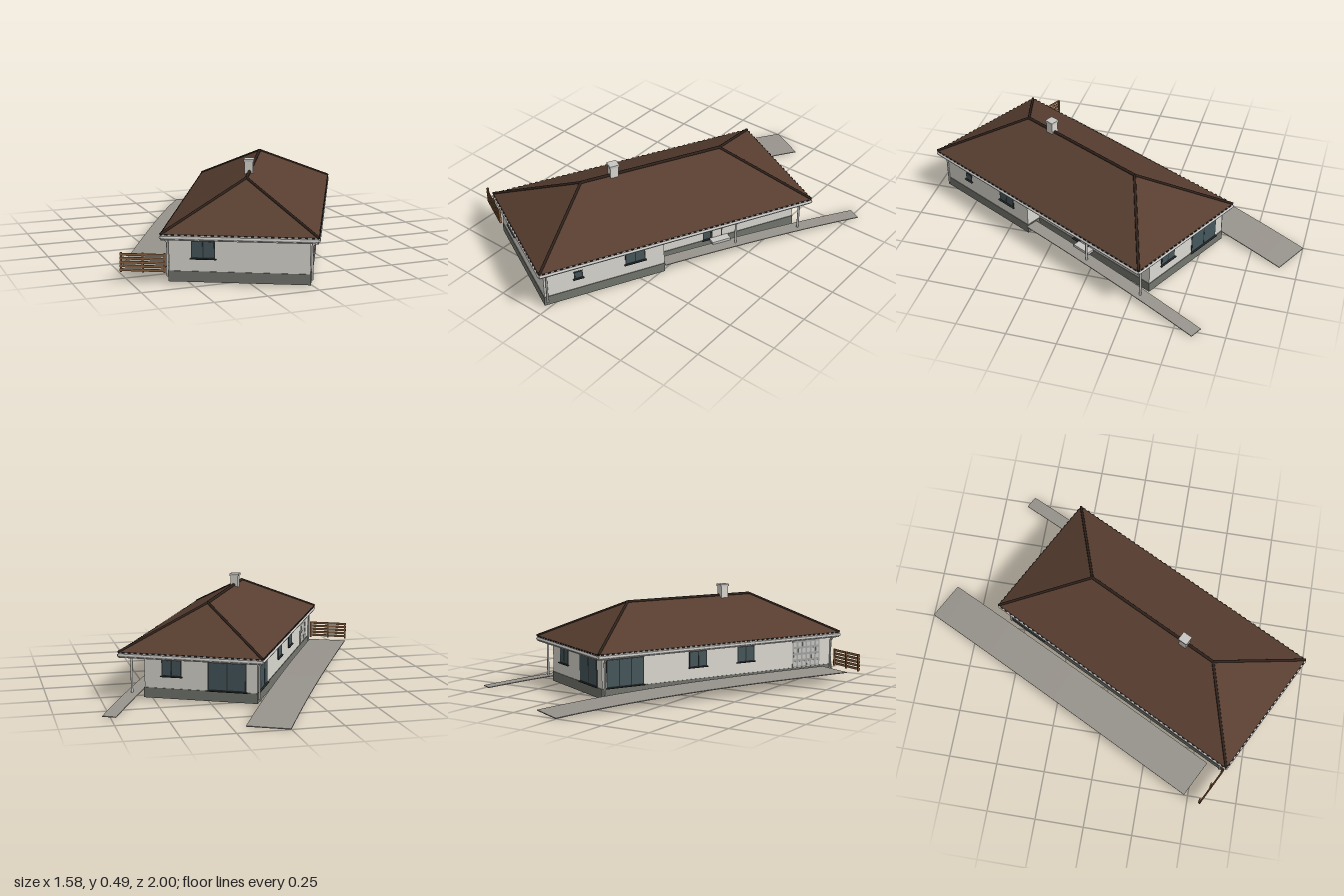
import * as THREE from 'three';

const paint = (name, color, side = THREE.FrontSide) => {
  const m = new THREE.MeshStandardMaterial({ color, side });
  m.name = name;
  return m;
};

export function createModel() {
  const wallMat = paint('render white', 0xdcdad2);
  const plinthMat = paint('plinth grey', 0x74766f);
  const roofMat = paint('roof brown', 0x583e30);
  const ridgeMat = paint('ridge dark brown', 0x2e211b);
  const trimMat = paint('gutter pale grey', 0xc9c8c5);
  const glassMat = paint('glass blue grey', 0x46575c);
  const frameMat = paint('frame charcoal', 0x2b3032);
  const pavingMat = paint('paving grey', 0x98948d);
  const woodMat = paint('fence wood', 0x8c6442);
  const panelMat = paint('panel grey', 0xa5a5a0);

  const model = new THREE.Group();
  model.name = 'bungalow';
  // The house is turned on its plot: local +z is the gable-less front end
  const house = new THREE.Group();
  house.name = 'house';
  house.position.set(0.016, 0, 0.18);
  house.rotation.y = -0.475;
  model.add(house);

  const add = (name, geo, mat, x = 0, y = 0, z = 0, parent = house) => {
    const mesh = new THREE.Mesh(geo, mat);
    mesh.name = name;
    mesh.position.set(x, y, z);
    parent.add(mesh);
    return mesh;
  };
  const box = (name, mat, w, h, d, x, y, z, parent) =>
    add(name, new THREE.BoxGeometry(w, h, d), mat, x, y, z, parent);
  const bar = (name, mat, a, b, r, sides = 8) => {
    const p = new THREE.Vector3(...a), q = new THREE.Vector3(...b);
    const mesh = add(name, new THREE.CylinderGeometry(r, r, p.distanceTo(q), sides), mat);
    mesh.position.copy(p).add(q).multiplyScalar(0.5);
    mesh.quaternion.setFromUnitVectors(new THREE.Vector3(0, 1, 0), q.sub(p).normalize());
    return mesh;
  };

  // Footprint with the porch recess on the +x side, inset by t
  const T = 0.005, L = -0.322, R = 0.318, P = 0.235, F = 0.697, S = 0.073, B = -0.69;
  const footprint = (t) => [
    [L + t, F - t], [R - t, F - t], [R - t, S + t],
    [P - t, S + t], [P - t, B + t], [L + t, B + t],
  ].map(([x, z]) => new THREE.Vector2(x, -z));
  const ring = (outer, inner, height) => {
    const shape = new THREE.Shape(outer);
    shape.holes.push(new THREE.Path(inner));
    return new THREE.ExtrudeGeometry(shape, { depth: height, bevelEnabled: false }).rotateX(-Math.PI / 2);
  };
  add('walls', ring(footprint(0), footprint(T), 0.15), wallMat, 0, 0.06, 0);
  add('plinth', ring(footprint(-0.003), footprint(T), 0.05), plinthMat, 0, 0.01, 0);

  // Hipped roof, with a pale lining below
  const HX = 0.355, HZ = 0.726, RZ = 0.376, EAVE = 0.235, TOP = 0.43;
  const hip = (flip) => {
    const a = [HX, EAVE, HZ], b = [-HX, EAVE, HZ], c = [-HX, EAVE, -HZ], d = [HX, EAVE, -HZ];
    const f = [0, TOP, RZ], k = [0, TOP, -RZ];
    const tris = [[b, a, f], [a, d, k], [a, k, f], [d, c, k], [c, b, f], [c, f, k]];
    const pts = tris.flatMap((t) => (flip ? [t[0], t[2], t[1]] : t)).flat();
    const geo = new THREE.BufferGeometry();
    geo.setAttribute('position', new THREE.Float32BufferAttribute(pts, 3));
    geo.computeVertexNormals();
    return geo;
  };
  add('roof', hip(false), roofMat);
  add('roofLining', hip(true), wallMat, 0, -0.01, 0);
  const rect = (x, z) => [[-x, z], [x, z], [x, -z], [-x, -z]].map(([u, v]) => new THREE.Vector2(u, -v));
  add('soffit', ring(rect(HX - 0.004, HZ - 0.004), footprint(T), 0.004), wallMat, 0, 0.207, 0);
  add('fascia', ring(rect(HX - 0.001, HZ - 0.001), rect(HX - 0.008, HZ - 0.008), 0.027), trimMat, 0, 0.207, 0);
  bar('ridgeCap', ridgeMat, [0, TOP, RZ], [0, TOP, -RZ], 0.008);
  for (const sx of [-1, 1]) for (const sz of [-1, 1]) {
    bar('hipCap', ridgeMat, [0, TOP, sz * RZ], [sx * HX, EAVE, sz * HZ], 0.007);
  }

  // Gutters, tile ends and downpipes
  for (const s of [-1, 1]) {
    bar('sideGutter', trimMat, [s * HX, 0.219, HZ], [s * HX, 0.219, -HZ], 0.007);
    bar('endGutter', trimMat, [-HX, 0.219, s * HZ], [HX, 0.219, s * HZ], 0.007);
    for (let i = 0; i < 48; i++) {
      box('tileEnd', ridgeMat, 0.008, 0.006, 0.014, s * HX, 0.233, (i - 23.5) * 0.03);
    }
    for (let i = 0; i < 23; i++) {
      box('tileEnd', ridgeMat, 0.014, 0.006, 0.008, (i - 11) * 0.03, 0.233, s * HZ);
    }
  }
  for (const [x, z, wx] of [[-0.33, 0.685, -HX], [0.326, 0.685, HX], [-0.33, -0.68, -HX]]) {
    bar('downpipe', trimMat, [x, 0.03, z], [x, 0.19, z], 0.005);
    bar('downpipeElbow', trimMat, [x, 0.19, z], [wx, 0.214, z], 0.005);
  }

  // Chimney
  box('chimney', wallMat, 0.04, 0.1, 0.042, -0.003, 0.43, 0.204);
  box('chimneyCap', trimMat, 0.048, 0.012, 0.05, -0.003, 0.485, 0.204);

  // Openings: each sits on a wall, with local +z pointing outwards
  const faces = {
    front: (u) => [u, F - T / 2, 0],
    back: (u) => [u, B + T / 2, Math.PI],
    left: (u) => [L + T / 2, u, -Math.PI / 2],
    right: (u) => [R - T / 2, u, Math.PI / 2],
    porch: (u) => [P - T / 2, u, Math.PI / 2],
  };
  const opening = (name, face, u) => {
    const g = new THREE.Group();
    const [x, z, turn] = faces[face](u);
    g.name = name;
    g.position.set(x, 0, z);
    g.rotation.y = turn;
    house.add(g);
    return g;
  };
  const windowAt = (face, u, w, y0, y1, panes) => {
    const g = opening(face + 'Window', face, u), h = y1 - y0, y = (y0 + y1) / 2;
    box('frame', frameMat, w, h, 0.008, 0, y, 0, g);
    const step = (w - 0.006) / panes;
    for (let i = 0; i < panes; i++) {
      box('pane', glassMat, step - 0.006, h - 0.012, 0.0098, (i - (panes - 1) / 2) * step, y, 0, g);
    }
    box('sill', frameMat, w + 0.01, 0.004, 0.012, 0, y0 - 0.002, 0.006, g);
  };
  [
    ['front', -0.166, 0.11, 0.12, 0.203, 2],
    ['right', 0.522, 0.045, 0.12, 0.163, 1],
    ['right', 0.227, 0.105, 0.12, 0.203, 2],
    ['porch', -0.04, 0.042, 0.12, 0.163, 1],
    ['porch', -0.522, 0.105, 0.12, 0.203, 2],
    ['back', 0.1, 0.1, 0.12, 0.203, 2],
    ['back', -0.175, 0.19, 0.062, 0.203, 2],
    ['left', -0.564, 0.208, 0.062, 0.203, 3],
    ['left', -0.148, 0.105, 0.12, 0.203, 2],
    ['left', 0.142, 0.105, 0.12, 0.203, 2],
  ].forEach((w) => windowAt(...w));

  // Entrance door with a glazed side light and step
  windowAt('porch', -0.2, 0.045, 0.062, 0.203, 1);
  const door = opening('frontDoor', 'porch', -0.255);
  box('doorFrame', frameMat, 0.062, 0.143, 0.007, 0, 0.132, 0, door);
  box('doorLeaf', wallMat, 0.048, 0.134, 0.0095, 0, 0.13, 0, door);
  box('doorStep', trimMat, 0.1, 0.014, 0.04, 0.01, 0.055, 0.022, door);
  box('porchLamp', frameMat, 0.01, 0.014, 0.01, -0.06, 0.19, 0.008, door);

  // Panelled garage door
  const garage = opening('garageDoor', 'left', 0.528);
  box('doorPanel', panelMat, 0.178, 0.14, 0.008, 0, 0.132, 0, garage);
  for (let i = 0; i < 6; i++) for (let j = 0; j < 4; j++) {
    box('doorCoffer', trimMat, 0.018, 0.022, 0.0095, (i - 2.5) * 0.029, 0.08 + j * 0.034, 0, garage);
  }

  // Porch posts
  for (const z of [-0.33, -0.69]) bar('porchPost', trimMat, [0.3, 0.03, z], [0.3, 0.21, z], 0.006);

  // Paving strips that dip towards the back
  const paving = (name, x0, x1, z0, z1) => {
    const geo = new THREE.BoxGeometry(x1 - x0, 0.004, z1 - z0, 1, 1, 24);
    geo.translate((x0 + x1) / 2, 0.002, (z0 + z1) / 2);
    const pos = geo.attributes.position;
    for (let i = 0; i < pos.count; i++) {
      const t = (0.62 - pos.getZ(i)) / 1.665;
      pos.setY(i, pos.getY(i) + 0.052 * (1 - Math.pow(Math.max(t, 0), 3)));
    }
    geo.computeVertexNormals();
    add(name, geo, pavingMat);
  };
  paving('driveway', -0.553, -0.348, -1.045, 0.621);
  paving('porchPath', 0.262, 0.33, -1.04, 0.07);

  // Slatted fence beside the front corner
  for (let i = 0; i < 5; i++) {
    box('fenceSlat', woodMat, 0.21, 0.012, 0.004, -0.44, 0.062 + i * 0.018, 0.712);
  }
  for (const x of [-0.54, -0.44, -0.34]) box('fencePost', woodMat, 0.008, 0.092, 0.008, x, 0.096, 0.706);

  return model;
}
